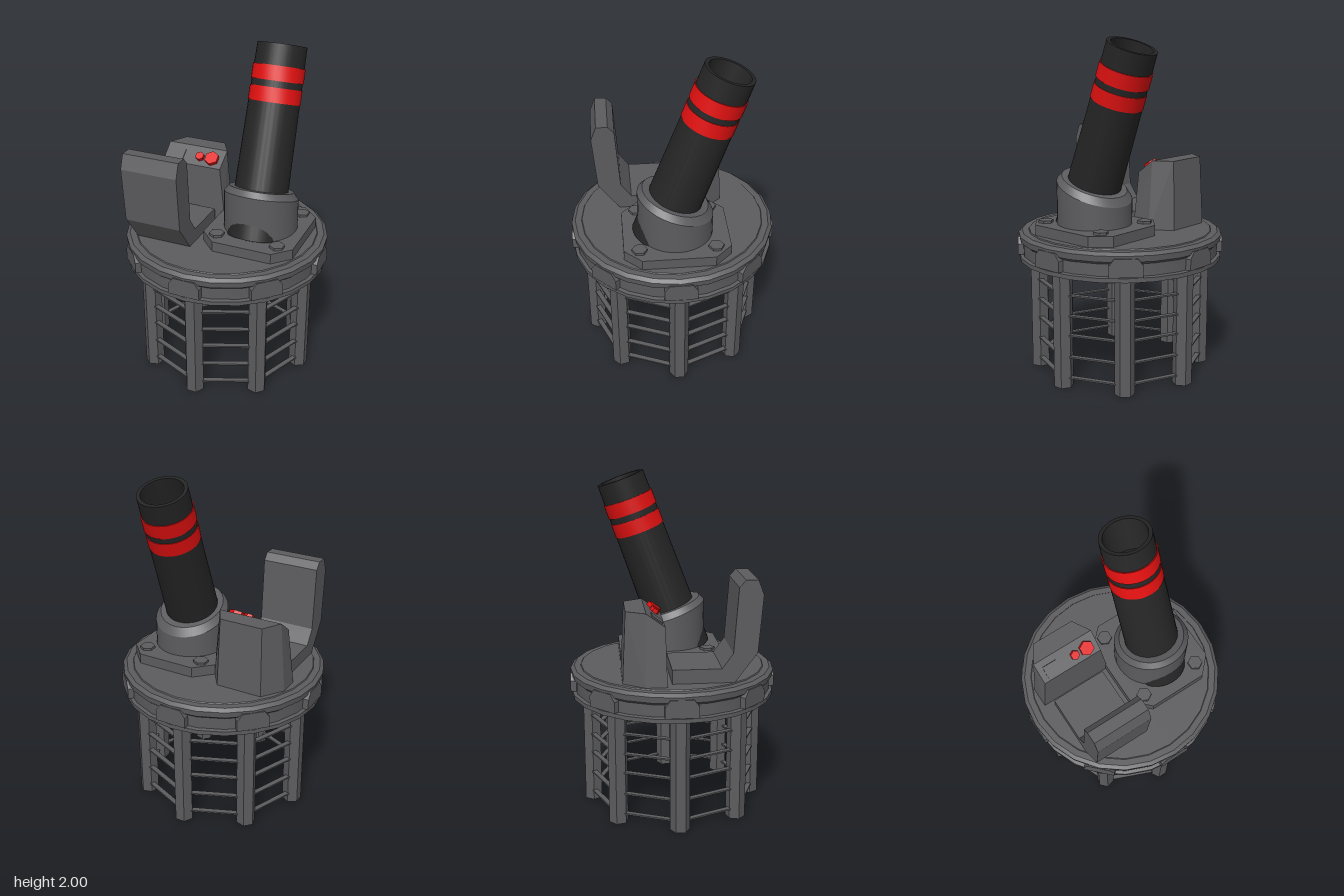
import * as THREE from 'three';
import { toCreasedNormals } from 'three/addons/utils/BufferGeometryUtils.js';
import { ConvexGeometry } from 'three/addons/geometries/ConvexGeometry.js';

const grey = new THREE.MeshStandardMaterial({ color: 0x5c5c5f });
grey.name = 'metalGrey';
const black = new THREE.MeshStandardMaterial({ color: 0x252525 });
black.name = 'barrelBlack';
const red = new THREE.MeshStandardMaterial({ color: 0xe01010 });
red.name = 'signalRed';

const vec2 = (pts) => pts.map(([x, y]) => new THREE.Vector2(x, y));

function add(parent, name, geometry, material, x = 0, y = 0, z = 0) {
  const mesh = new THREE.Mesh(geometry, material);
  mesh.name = name;
  mesh.position.set(x, y, z);
  parent.add(mesh);
  return mesh;
}

// Turned part with crisp profile edges
const lathe = (pts, sides) => toCreasedNormals(new THREE.LatheGeometry(vec2(pts), sides), 0.45);

const extrude = (pts, depth) =>
  new THREE.ExtrudeGeometry(new THREE.Shape(vec2(pts)), { depth, bevelEnabled: false });

const hex = (r, h) => toCreasedNormals(new THREE.CylinderGeometry(r, r, h, 6), 0.45);

export function createModel() {
  const model = new THREE.Group();
  model.name = 'mortarTurret';

  // Round platform with a grooved rim and raised top disc
  add(model, 'platform', lathe([
    [0, 0.695], [0.61, 0.695], [0.61, 0.72], [0.59, 0.725], [0.59, 0.795], [0.608, 0.81],
    [0.612, 0.845], [0.59, 0.862], [0.552, 0.862], [0.548, 0.868], [0, 0.868],
  ], 24), grey);

  // Rim clips, legs and rungs, eight of each around the axis
  const clipGeo = extrude([
    [-0.095, 0.725], [0.095, 0.725], [0.095, 0.79], [0.065, 0.83], [-0.065, 0.83], [-0.095, 0.79],
  ], 0.06);
  const legGeo = hex(0.058, 0.7);
  legGeo.rotateY(Math.PI / 6);
  const rungGeo = new THREE.BoxGeometry(0.4, 0.009, 0.03);
  for (let i = 0; i < 8; i++) {
    const side = new THREE.Group();
    side.name = 'platformSide';
    side.rotation.y = (i * Math.PI) / 4;
    add(side, 'rimClip', clipGeo, grey, 0, 0, 0.552);
    add(side, 'leg', legGeo, grey, 0, 0.35, 0.49);
    model.add(side);

    const cage = new THREE.Group();
    cage.name = 'rungs';
    cage.rotation.y = ((i + 0.5) * Math.PI) / 4;
    for (const y of [0.06, 0.187, 0.318, 0.435, 0.557, 0.66]) {
      add(cage, 'rung', rungGeo, grey, 0, y, 0.465);
    }
    model.add(cage);
  }

  // Barrel base plate with hex bolts
  const plateGeo = extrude([
    [0.04, -0.31], [0.40, -0.31], [0.497, -0.21], [0.497, 0.21],
    [0.40, 0.31], [0.04, 0.31], [-0.06, 0.21], [-0.06, -0.21],
  ], 0.068);
  plateGeo.rotateX(-Math.PI / 2);
  add(model, 'basePlate', plateGeo, grey, 0, 0.862, 0);
  for (const x of [0.03, 0.405]) {
    for (const z of [-0.22, 0.22]) add(model, 'bolt', hex(0.045, 0.03), grey, x, 0.93, z);
  }

  // Collar: a turned ring whose upper end is sheared to match the tilt
  const collarGeo = new THREE.LatheGeometry(
    vec2([[0.22, 0.92], [0.22, 1.13], [0.19, 1.17], [0.14, 1.17]]), 32);
  const p = collarGeo.attributes.position;
  for (let i = 0; i < p.count; i++) {
    if (p.getY(i) > 1) p.setY(i, p.getY(i) + 0.35 * p.getZ(i));
  }
  add(model, 'collar', toCreasedNormals(collarGeo, 0.45), grey, 0.22, 0, 0);

  // Tilted barrel with a hollow muzzle and two bands
  const barrel = new THREE.Group();
  barrel.name = 'barrelAssembly';
  barrel.position.set(0.22, 0.895, 0.098);
  barrel.rotation.x = -Math.PI / 9;
  model.add(barrel);
  add(barrel, 'barrel', lathe([
    [0, 0], [0.164, 0], [0.144, 1.125], [0.122, 1.125], [0.122, 0.9], [0, 0.9],
  ], 32), black);
  for (const y of [0.796, 0.918]) {
    add(barrel, 'band', lathe([
      [0.14, y], [0.153, y], [0.152, y + 0.085], [0.14, y + 0.085],
    ], 32), red);
  }

  // Seat: one bent side profile (z, y) extruded across x
  const seatGeo = extrude([
    [-0.04, 0.865], [0.312, 0.865], [0.44, 1.037], [0.466, 1.365], [0.434, 1.45],
    [0.365, 1.45], [0.328, 1.41], [0.302, 1.037], [0.24, 0.95], [-0.04, 0.95],
  ], 0.345);
  seatGeo.rotateY(-Math.PI / 2);
  add(model, 'seat', seatGeo, grey, -0.10, 0, 0);

  // Control console, mirrored about its own centre line
  const corners = [];
  for (const s of [-1, 1]) {
    for (const [x, y, z] of [
      [0.228, 0.862, -0.07], [0.228, 0.862, -0.19], [0.14, 0.862, -0.315],
      [0.19, 1.2, -0.078], [0.194, 1.28, -0.185], [0.13, 1.28, -0.295],
    ]) corners.push(new THREE.Vector3(s * x, y, z));
  }
  add(model, 'console', new ConvexGeometry(corners), grey, -0.273, 0, 0);

  // Sloped control panel details
  const panel = new THREE.Group();
  panel.name = 'controlPanel';
  panel.position.set(-0.273, 1.24, -0.1315);
  panel.rotation.x = Math.atan2(0.08, 0.107);
  model.add(panel);
  add(panel, 'screen', new THREE.BoxGeometry(0.09, 0.008, 0.075), grey, -0.112, 0.002, 0.012);
  add(panel, 'smallButton', hex(0.028, 0.03), red, 0.041, 0.008, 0.008);
  add(panel, 'largeButton', hex(0.045, 0.03), red, 0.12, 0.008, 0.008);

  return model;
}
